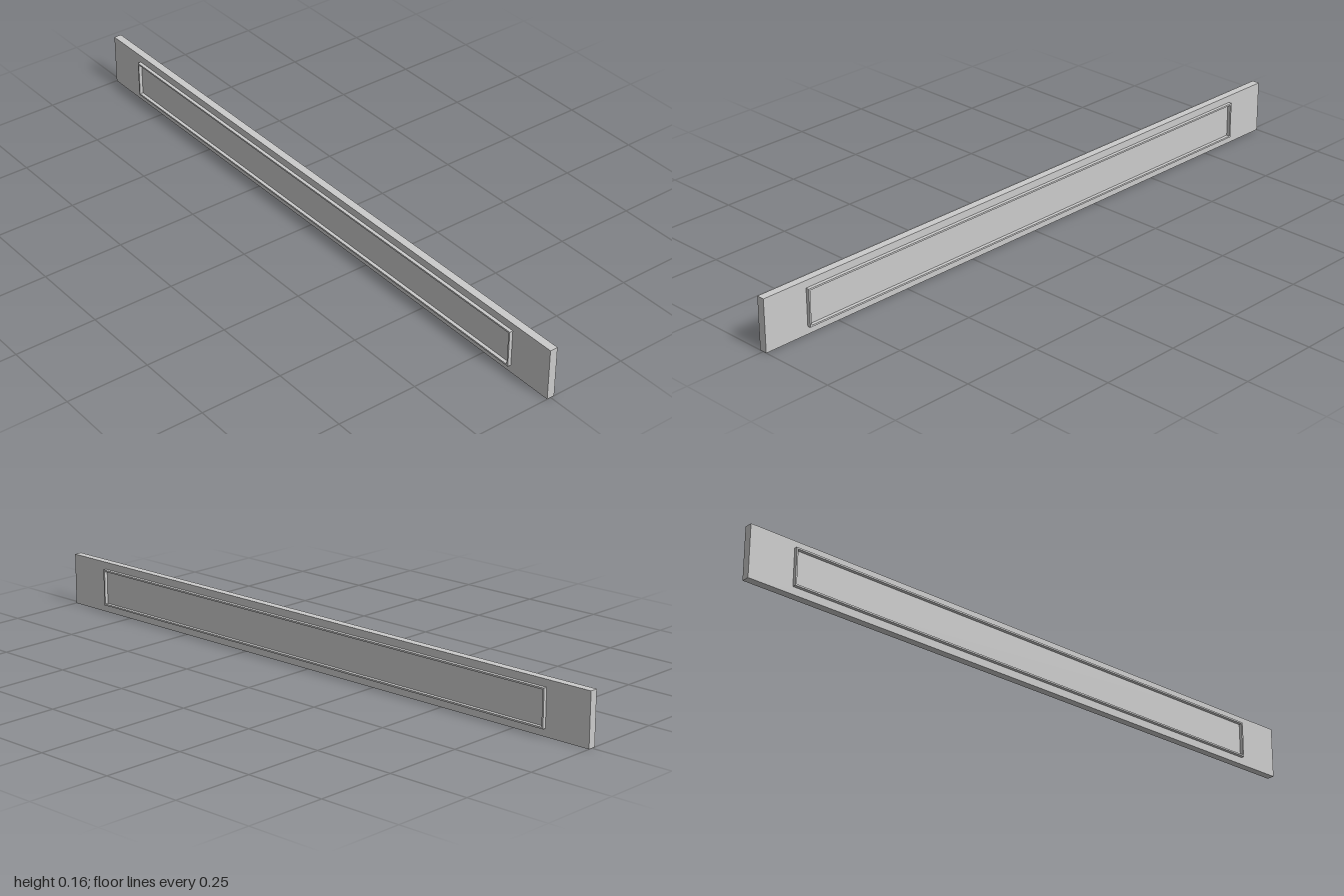
import * as THREE from 'three';

const material = new THREE.MeshStandardMaterial({ color: 0xcccccc, flatShading: true });

// Clockwise or counter-clockwise rectangle in the (z, y) plane
function rectangle(target, halfLength, bottom, top) {
  target.moveTo(-halfLength, bottom);
  target.lineTo(halfLength, bottom);
  target.lineTo(halfLength, top);
  target.lineTo(-halfLength, top);
  target.closePath();
  return target;
}

export function createModel() {
  const group = new THREE.Group();
  group.name = 'panelBoard';

  // Long flat board
  const height = 0.158;
  const board = new THREE.Mesh(new THREE.BoxGeometry(0.024, height, 2), material);
  board.name = 'board';
  board.position.y = height / 2;
  group.add(board);

  // Thin raised rim on each broad face, framing a sunken panel
  const rimDepth = 0.0105;
  const rimWidth = 0.005;
  const outline = rectangle(new THREE.Shape(), 0.857, 0.023, 0.136);
  outline.holes.push(rectangle(new THREE.Path(), 0.857 - rimWidth, 0.023 + rimWidth, 0.136 - rimWidth));
  const rimGeometry = new THREE.ExtrudeGeometry(outline, { depth: rimDepth, bevelEnabled: false });

  for (const side of [1, -1]) {
    const rim = new THREE.Mesh(rimGeometry, material);
    rim.name = side > 0 ? 'leftRim' : 'rightRim';
    rim.rotation.y = side * Math.PI / 2;
    rim.position.x = side * 0.012;
    group.add(rim);
  }

  return group;
}
